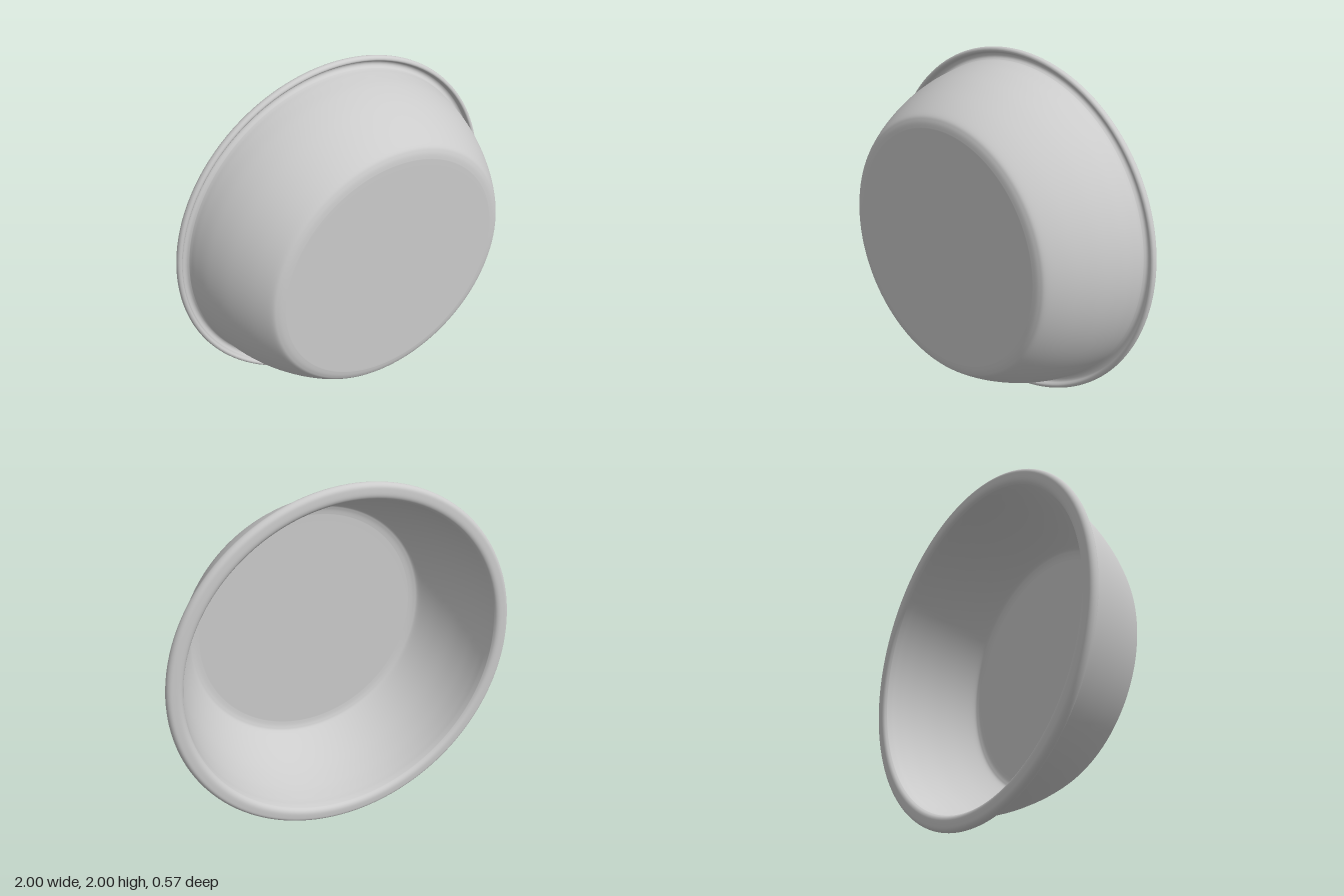
import * as THREE from 'three';

// Smooth run of profile points [radius, height]
function smooth(points, steps) {
  return new THREE.SplineCurve(points.map(([r, h]) => new THREE.Vector2(r, h))).getPoints(steps);
}

export function createModel() {
  const group = new THREE.Group();
  const material = new THREE.MeshStandardMaterial({ color: 0xcccccc });

  // Outer skin: flat base, rounded corner, bulging wall, up under the lip
  const outer = smooth([
    [0.66, -0.283], [0.7, -0.275], [0.735, -0.25], [0.8, -0.15],
    [0.86, -0.025], [0.9, 0.095], [0.92, 0.19], [0.927, 0.235],
  ], 40);
  // Rolled lip: hollow underside, outer edge, rounded top
  const lip = smooth([
    [0.93, 0.25], [0.94, 0.262], [0.953, 0.266], [0.966, 0.26], [0.971, 0.246],
    [0.977, 0.237], [0.986, 0.235], [0.996, 0.241], [1, 0.255], [0.995, 0.27],
    [0.983, 0.28], [0.965, 0.283], [0.94, 0.283], [0.923, 0.276], [0.912, 0.262],
  ], 56);
  // Inner skin: back down to the floor
  const inner = smooth([
    [0.907, 0.235], [0.9, 0.19], [0.88, 0.1], [0.841, -0.018],
    [0.783, -0.14], [0.722, -0.235], [0.692, -0.256], [0.655, -0.263],
  ], 40);

  const profile = [
    new THREE.Vector2(0, -0.283), new THREE.Vector2(0.6, -0.283),
    ...outer, ...lip, ...inner,
    new THREE.Vector2(0.6, -0.263), new THREE.Vector2(0, -0.263),
  ];

  // Bowl stands on its edge with its opening to the back
  const bowl = new THREE.Mesh(new THREE.LatheGeometry(profile, 128), material);
  bowl.name = 'bowl';
  bowl.rotation.x = -Math.PI / 2;
  bowl.position.y = 1;
  group.add(bowl);
  return group;
}
